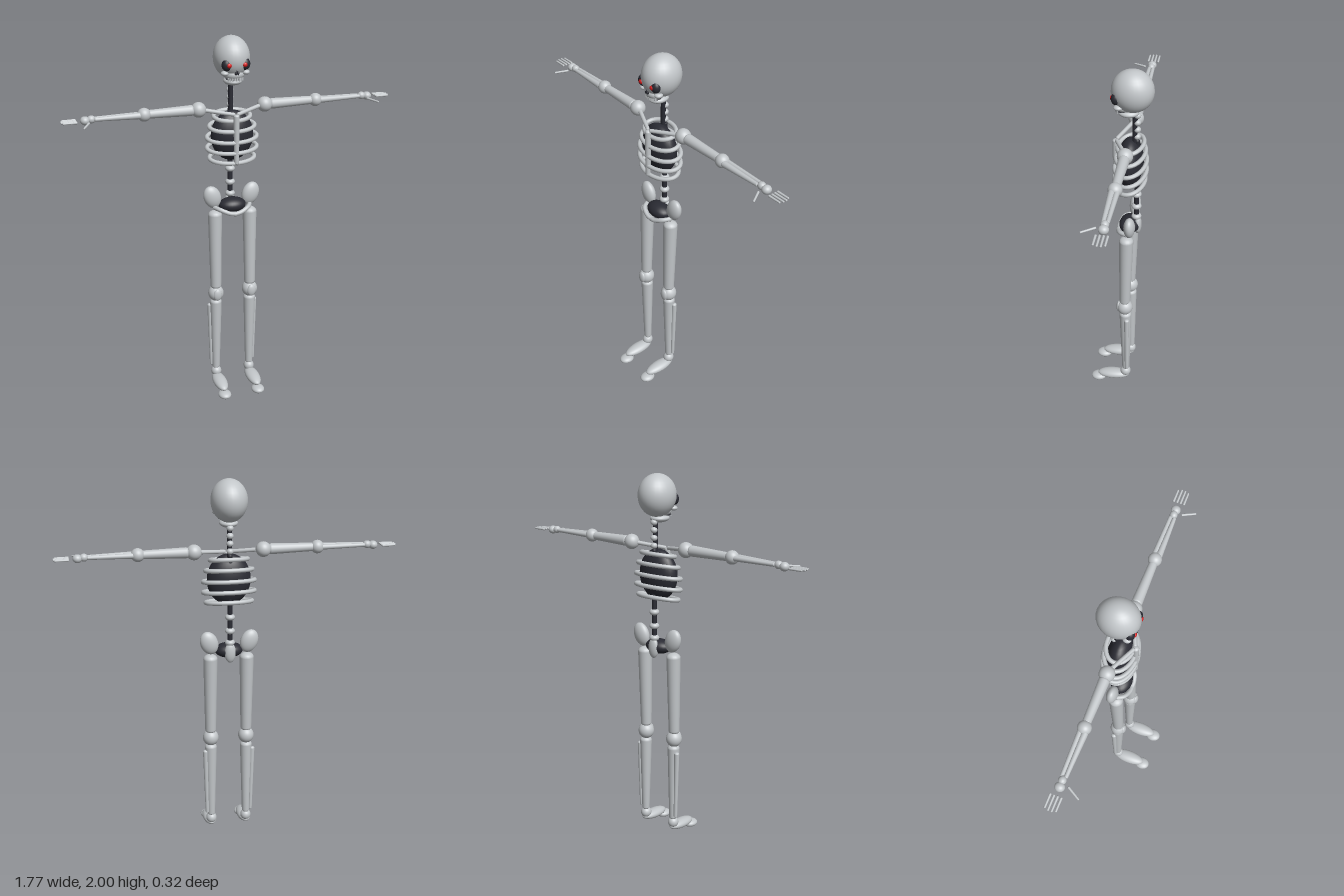
import * as THREE from 'three';

const material = (name, color) => {
  const m = new THREE.MeshStandardMaterial({ color });
  m.name = name;
  return m;
};

export function createModel() {
  const bone = material('bone', 0xc2c6c9);
  const dark = material('dark hollow', 0x2a2b33);
  const red = material('red glow', 0xd81e1e);
  const model = new THREE.Group();
  model.name = 'skeleton';

  const group = (name, parent = model) => {
    const g = new THREE.Group();
    g.name = name;
    parent.add(g);
    return g;
  };
  const add = (parent, name, geo, mat) => {
    const mesh = new THREE.Mesh(geo, mat);
    mesh.name = name;
    parent.add(mesh);
    return mesh;
  };
  // Ellipsoid at a position with three radii
  const ball = (parent, name, p, r, mat = bone) => {
    const mesh = add(parent, name, new THREE.SphereGeometry(1, 28, 18), mat);
    mesh.position.set(...p);
    mesh.scale.set(...r);
    return mesh;
  };
  // Tapered shaft with rounded ends from a to b
  const shaft = (parent, name, a, b, ra, rb = ra, mat = bone) => {
    const A = new THREE.Vector3(...a), B = new THREE.Vector3(...b);
    const len = A.distanceTo(B), pts = [];
    for (let i = 0; i <= 6; i++) {
      const t = (i / 6) * Math.PI / 2;
      pts.push(new THREE.Vector2(ra * Math.sin(t), ra * 0.7 * (1 - Math.cos(t))));
    }
    for (let i = 6; i >= 0; i--) {
      const t = (i / 6) * Math.PI / 2;
      pts.push(new THREE.Vector2(rb * Math.sin(t), len - rb * 0.7 * (1 - Math.cos(t))));
    }
    const mesh = add(parent, name, new THREE.LatheGeometry(pts, 18), mat);
    mesh.position.copy(A);
    mesh.quaternion.setFromUnitVectors(new THREE.Vector3(0, 1, 0), B.sub(A).normalize());
    return mesh;
  };
  const tube = (parent, name, pts, r, closed = false) => add(parent, name,
    new THREE.TubeGeometry(new THREE.CatmullRomCurve3(pts.map(p => new THREE.Vector3(...p)), closed),
      closed ? 56 : 20, r, 10, closed), bone);

  // Head
  const head = group('head');
  ball(head, 'cranium', [0, 1.89, -0.055], [0.094, 0.11, 0.107]);
  ball(head, 'upperJaw', [0, 1.812, -0.015], [0.055, 0.034, 0.05]);
  ball(head, 'lowerJaw', [0, 1.772, -0.035], [0.048, 0.022, 0.054]);
  for (const s of [-1, 1]) {
    ball(head, 'cheekbone', [s * 0.056, 1.822, 0.008], [0.02, 0.013, 0.022]);
    ball(head, 'eyeSocket', [s * 0.049, 1.867, 0.02], [0.026, 0.031, 0.024], dark);
    ball(head, 'eye', [s * 0.042, 1.867, 0.04], [0.013, 0.012, 0.009], red);
    ball(head, 'nostril', [s * 0.006, 1.824, 0.036], [0.006, 0.009, 0.006], dark);
  }
  ball(head, 'noseBridge', [0, 1.832, 0.037], [0.004, 0.011, 0.006], dark);
  const mouth = ball(head, 'mouth', [0, 1.79, -0.006], [0.046, 0.009, 0.034], dark);
  mouth.name = 'mouthGap';
  for (let i = 0; i < 8; i++) {
    const a = (i - 3.5) * 0.27;
    const tooth = add(head, 'tooth', new THREE.BoxGeometry(0.009, 0.017, 0.006), bone);
    tooth.position.set(Math.sin(a) * 0.047, 1.79, -0.008 + Math.cos(a) * 0.036);
    tooth.rotation.y = a;
  }

  // Spine
  const spine = group('spine');
  shaft(spine, 'neckCore', [0, 1.78, -0.068], [0, 1.58, -0.068], 0.013, 0.013, dark);
  shaft(spine, 'spineCore', [0, 1.62, -0.08], [0, 1.07, -0.08], 0.013, 0.013, dark);
  const vertebra = (y, r, h) => ball(spine, 'vertebra', [0, y, -0.08], [r, h, r]);
  for (const y of [1.755, 1.715, 1.675, 1.635]) vertebra(y, 0.018, 0.016);
  for (const y of [1.285, 1.21, 1.145]) vertebra(y, 0.026, 0.018);

  // Ribcage: hollow core, sloping rib rings and breastbone
  const chest = group('ribcage');
  ball(chest, 'chestHollow', [0, 1.48, -0.045], [0.115, 0.135, 0.068], dark);
  const ribs = [[1.585, 0.098, 0.066], [1.53, 0.122, 0.074], [1.472, 0.135, 0.08],
    [1.415, 0.135, 0.08], [1.36, 0.122, 0.074]];
  for (const [y, rx, rz] of ribs) {
    const pts = [];
    for (let i = 0; i < 20; i++) {
      const a = (i / 20) * Math.PI * 2;
      pts.push([rx * Math.sin(a), y - 0.014 * Math.cos(a), -0.048 + rz * Math.cos(a)]);
    }
    tube(chest, 'rib', pts, 0.0115, true);
  }
  shaft(chest, 'breastbone', [0, 1.61, 0.03], [0, 1.34, 0.03], 0.016, 0.013);

  // Pelvis
  const pelvis = group('pelvis');
  ball(pelvis, 'pelvisHollow', [0, 1.092, -0.045], [0.075, 0.04, 0.055], dark);
  ball(pelvis, 'sacrum', [0, 1.09, -0.088], [0.03, 0.055, 0.02]);
  ball(pelvis, 'pubicJoint', [0, 1.056, 0.01], [0.02, 0.013, 0.014]);

  for (const s of [-1, 1]) {
    const side = s > 0 ? 'left' : 'right';
    const hip = ball(pelvis, side + 'HipWing', [s * 0.107, 1.14, -0.058], [0.047, 0.064, 0.03]);
    hip.rotation.z = -s * 0.35;
    tube(pelvis, side + 'PubicArch',
      [[s * 0.1, 1.085, -0.045], [s * 0.075, 1.08, -0.005], [s * 0.03, 1.062, 0.012], [0, 1.056, 0.012]], 0.012);

    // Arm, held straight out
    const arm = group(side + 'Arm');
    const Y = 1.63, Z = -0.047;
    shaft(arm, 'collarbone', [s * 0.005, 1.607, 0.025], [s * 0.17, Y, Z], 0.01, 0.011);
    ball(arm, 'shoulderJoint', [s * 0.18, Y, Z], [0.04, 0.04, 0.04]);
    shaft(arm, 'upperArm', [s * 0.2, Y, Z], [s * 0.45, Y, Z], 0.028, 0.022);
    ball(arm, 'elbowJoint', [s * 0.465, Y, Z], [0.035, 0.035, 0.035]);
    shaft(arm, 'innerForearm', [s * 0.48, Y, Z + 0.012], [s * 0.72, Y, Z + 0.01], 0.017, 0.01);
    shaft(arm, 'outerForearm', [s * 0.48, Y, Z - 0.012], [s * 0.72, Y, Z - 0.01], 0.014, 0.01);
    ball(arm, 'wristJoint', [s * 0.733, Y, Z], [0.022, 0.02, 0.02]);
    ball(arm, 'palm', [s * 0.765, 1.626, Z], [0.024, 0.022, 0.025]);
    for (let i = 0; i < 4; i++) {
      const z = Z + (i - 1.5) * 0.018, tip = 0.89 - Math.abs(i - 1.5) * 0.007;
      shaft(arm, 'finger', [s * 0.806, 1.626, z], [s * tip, 1.626, z], 0.006, 0.005);
    }
    shaft(arm, 'thumb', [s * 0.75, 1.622, -0.012], [s * 0.788, 1.615, 0.055], 0.006, 0.005);

    // Leg
    const leg = group(side + 'Leg');
    const X = s * 0.098;
    shaft(leg, 'thighBone', [X, 1.07, -0.042], [X, 0.61, -0.034], 0.038, 0.03);
    ball(leg, 'kneeJoint', [X, 0.583, -0.035], [0.043, 0.045, 0.043]);
    ball(leg, 'kneecap', [X, 0.583, -0.002], [0.024, 0.034, 0.014]);
    shaft(leg, 'shinBone', [X, 0.55, -0.038], [X, 0.105, -0.042], 0.033, 0.021);
    shaft(leg, 'calfBone', [s * 0.13, 0.515, -0.05], [s * 0.122, 0.125, -0.05], 0.014, 0.01);
    ball(leg, 'ankleJoint', [X, 0.087, -0.04], [0.029, 0.03, 0.03]);
    const foot = ball(leg, 'foot', [X, 0.055, 0.03], [0.038, 0.026, 0.092]);
    foot.rotation.x = 0.06;
    ball(leg, 'toes', [X, 0.021, 0.118], [0.036, 0.021, 0.043]);
  }
  return model;
}
